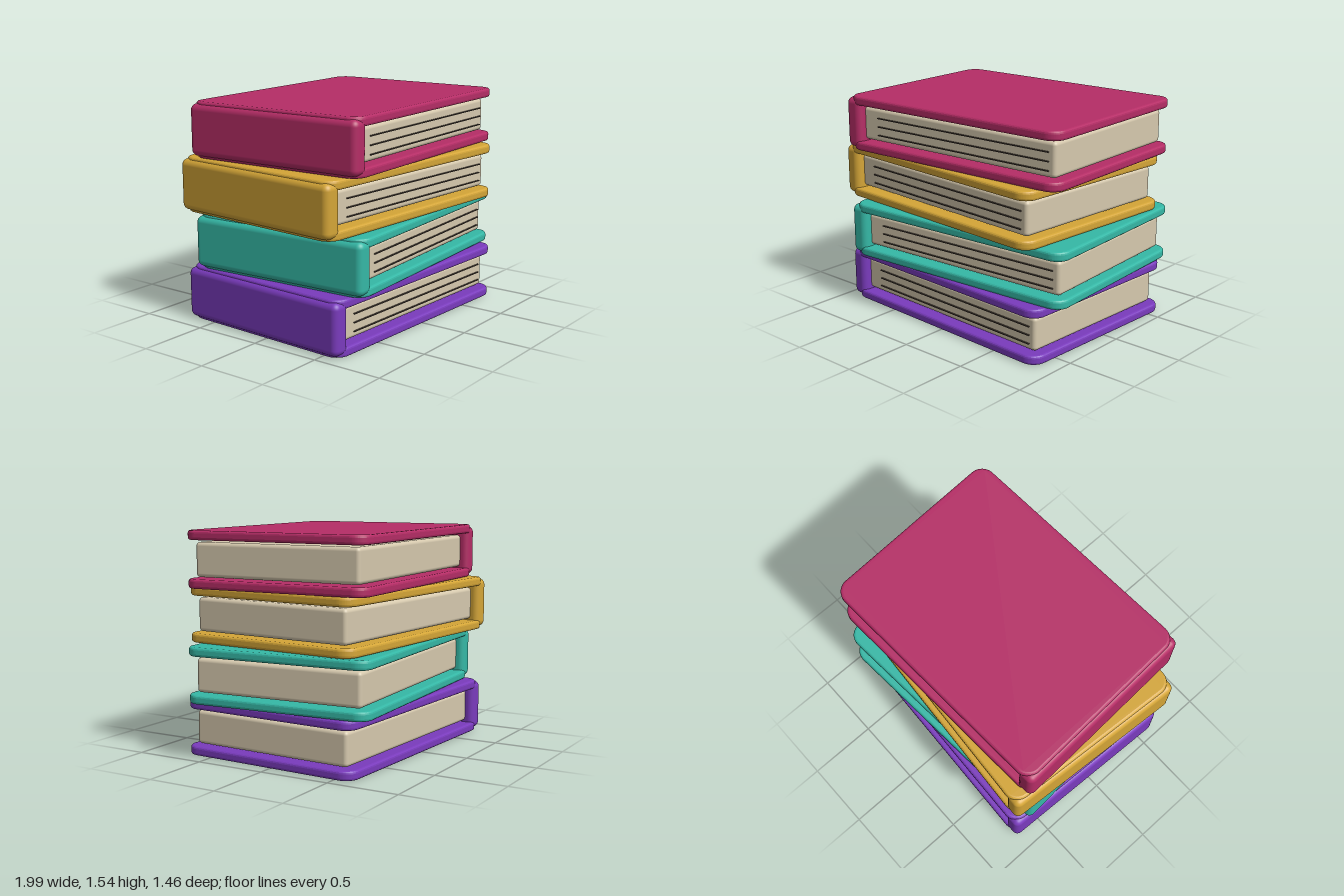
import * as THREE from 'three';
import { RoundedBoxGeometry } from 'three/addons/geometries/RoundedBoxGeometry.js';

const mat = (name, color) => {
  const m = new THREE.MeshStandardMaterial({ color });
  m.name = name;
  return m;
};

// Flat board with rounded corners and softly bevelled rims, lying on y = 0
function boardGeometry(width, depth, thickness, radius, bevel) {
  const a = width / 2 - bevel, b = depth / 2 - bevel, r = radius - bevel;
  const s = new THREE.Shape();
  s.moveTo(a - r, -b);
  s.absarc(a - r, -b + r, r, -Math.PI / 2, 0);
  s.absarc(a - r, b - r, r, 0, Math.PI / 2);
  s.absarc(-a + r, b - r, r, Math.PI / 2, Math.PI);
  s.absarc(-a + r, -b + r, r, Math.PI, Math.PI * 1.5);
  const g = new THREE.ExtrudeGeometry(s, {
    depth: thickness - 2 * bevel, bevelEnabled: true, bevelSize: bevel,
    bevelThickness: bevel, bevelSegments: 3, curveSegments: 8,
  });
  return g.translate(0, 0, bevel).rotateX(-Math.PI / 2);
}

export function createModel() {
  const paper = mat('paper', 0xd6c9ae);
  const ink = mat('page line', 0x4a4038);

  const BOOK_H = 0.385, COVER_T = 0.064;
  const cover = boardGeometry(1.8, 1.35, COVER_T, 0.1, 0.018);
  const spine = new RoundedBoxGeometry(0.13, 0.356, 1.345, 4, 0.045);
  const pages = new RoundedBoxGeometry(1.66, 0.234, 1.22, 3, 0.027);
  const line = new THREE.BoxGeometry(1.468, 0.007, 0.02);

  function createBook(name, material) {
    const book = new THREE.Group();
    book.name = name;
    const add = (part, geometry, m, x, y, z = 0) => {
      const mesh = new THREE.Mesh(geometry, m);
      mesh.name = part;
      mesh.position.set(x, y, z);
      book.add(mesh);
    };
    add('bottomCover', cover, material, 0, 0);
    add('topCover', cover, material, 0, BOOK_H - COVER_T);
    add('spine', spine, material, -0.86, BOOK_H / 2);
    add('pages', pages, paper, 0.015, 0.19);
    // Page lines on the front edge
    for (let i = 0; i < 3; i++) add('pageLine', line, ink, 0.062, 0.119 + i * 0.06, 0.61);
    return book;
  }

  // Bottom to top: name, colour, sideways shift, twist
  const books = [
    ['purpleBook', 0x7a3bbd, 0.008, -0.045],
    ['tealBook', 0x35b8a6, 0.06, 0.065],
    ['goldBook', 0xd4a537, -0.032, -0.07],
    ['crimsonBook', 0xb52d66, 0.04, 0.045],
  ];

  const model = new THREE.Group();
  model.name = 'bookStack';
  books.forEach(([name, color, x, twist], i) => {
    const book = createBook(name, mat(name + ' cover', color));
    book.position.set(x, i * BOOK_H, 0);
    book.rotation.y = twist;
    model.add(book);
  });
  return model;
}
